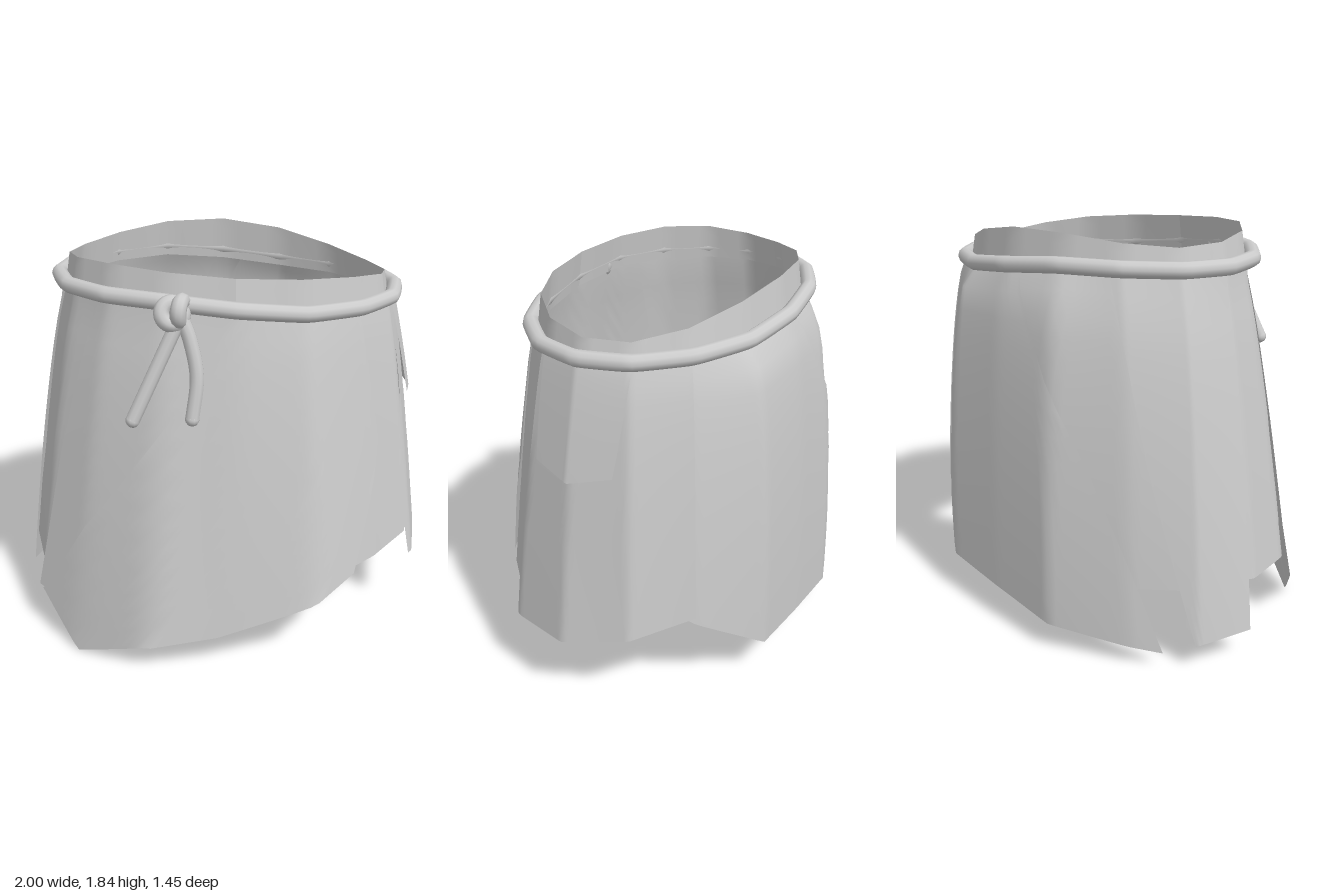
import * as THREE from 'three';

const clothMat = new THREE.MeshStandardMaterial({ color: 0xcccccc, side: THREE.DoubleSide });
const ropeMat = new THREE.MeshStandardMaterial({ color: 0xcccccc });
const { sin, cos, tanh, floor, max, pow, PI } = Math;
const mix = THREE.MathUtils.lerp;

// Rules by angle, from the front round by +x
const waist = (a) => new THREE.Vector2(.03 + .755 * sin(a), .54 * cos(a) - .015);
const hemline = (a) => new THREE.Vector2(.01 + .98 * sin(a), .71 * cos(a) * (1 + .08 * sin(4 * a) ** 2) - .01);
const ropeHeight = (a) => 1.67 - .038 * tanh(3 * sin(a)) + .015 * cos(a) ** 2;
const rimHeight = (a) => 1.788 - .05 * sin(a) + .035 * cos(2 * a) - .018 * cos(3 * a);

// Straight facets between 16 stations u
const angle = (u) => u * PI / 8;
const facet = (rule, u) => rule(angle(floor(u))).lerp(rule(angle(floor(u) + 1)), u - floor(u));
const facetY = (rule, u) => mix(rule(angle(floor(u))), rule(angle(floor(u) + 1)), u - floor(u));

// Lookup in evenly spaced values
function sample(values, t) {
  const k = t * (values.length - 1), i = Math.min(floor(k), values.length - 2);
  return mix(values[i], values[i + 1], k - i);
}

// Point on the skirt: station u, height y, pushed outwards by off
function skirtPoint(u, y, off) {
  const hem = facet(hemline, u);
  const s = max(0, (1.65 - y) / 1.3);
  const back = max(0, -hem.y / .72);
  const t = pow(s, mix(.8, .38, back)) - back * .15 * s * s;
  const p = facet(waist, u).lerp(hem, t);
  const n = new THREE.Vector2(p.x, p.y * 1.8).normalize();
  p.addScaledVector(n, off);
  return new THREE.Vector3(p.x, y, p.y);
}

// Smooth sheet from a rule point(w, v), w sideways and v downwards
function sheet(name, cols, rows, point) {
  const pos = [], index = [];
  for (let j = 0; j <= rows; j++)
    for (let i = 0; i <= cols; i++) pos.push(...point(i / cols, j / rows).toArray());
  for (let j = 0; j < rows; j++)
    for (let i = 0; i < cols; i++) {
      const a = j * (cols + 1) + i, c = a + cols + 1;
      index.push(a, c, a + 1, a + 1, c, c + 1);
    }
  const g = new THREE.BufferGeometry();
  g.setAttribute('position', new THREE.Float32BufferAttribute(pos, 3));
  g.setIndex(index);
  g.computeVertexNormals();
  const mesh = new THREE.Mesh(g, clothMat);
  mesh.name = name;
  return mesh;
}

// Cloth panel: stations of the side edges going down, heights of the hem going across
function panel(name, off, left, right, hem) {
  return sheet(name, 40, 14, (w, v) => {
    const u = mix(sample(left, v), sample(right, v), w);
    const y = mix(facetY(ropeHeight, u), sample(hem, w), v);
    return skirtPoint(u, y, off * (.3 + .7 * v));
  });
}

function rope(name, points, radius, closed, tension, segments) {
  const curve = new THREE.CatmullRomCurve3(points, closed, 'catmullrom', tension);
  const mesh = new THREE.Mesh(new THREE.TubeGeometry(curve, segments, radius, 10, closed), ropeMat);
  mesh.name = name;
  return mesh;
}

// Hanging tail with a round tip, bowing sideways on its way down
function ropeTail(name, endX, bow) {
  const points = [0, .25, .6, 1].map((t) =>
    new THREE.Vector3(mix(-.2, endX, t) + bow * sin(t * PI), mix(1.67, 1.24, t), mix(.56, .635, t)));
  const tail = rope(name, points, .031, false, .5, 24);
  const tip = new THREE.Mesh(new THREE.SphereGeometry(.031, 10, 8), ropeMat);
  tip.name = 'tailTip';
  tip.position.copy(points[points.length - 1]);
  tail.add(tip);
  return tail;
}

function knotRing(name, radius, x, y, rotX, rotY) {
  const ring = new THREE.Mesh(new THREE.TorusGeometry(radius, .034, 10, 24), ropeMat);
  ring.name = name;
  ring.position.set(x, y, .56);
  ring.rotation.set(rotX, rotY, 0);
  return ring;
}

export function createModel() {
  const model = new THREE.Group();
  model.name = 'wrapSkirt';

  // Overlapping cloth panels
  model.add(
    panel('frontPanel', .022, [.2, -1.35, -2.85], [2, 2.2, 1.6], [.22, 0, .14, .19, .3, .42]),
    panel('frontRightPanel', .008, [-2.3, -2.75, -3], [.8, -.8, -2.3], [.22, .2]),
    panel('frontLeftPanel', 0, [1.3, 1.2], [3.4, 2.9], [.42, .45, .47]),
    panel('leftSidePanel', .014, [3, 3, 2.75, 2.9], [6, 6], [.35, .36, .42, .48]),
    panel('backPanel', .008, [5.6, 5.85], [8.2, 9.5, 10.5], [.48, .21, .17, .12, .07]),
    panel('rightSidePanel', .018, [9.8, 10.3, 10.95], [12, 11.8], [.12, .14]),
    panel('rightUnderPanel', -.012, [7.6, 8.6, 9.8], [14.6, 13.6], [.36, .36, .32]),
    panel('hipFlap', .035, [3.1, 3.3], [5.05, 4.75], [1.16, 1.12, 1.17]),
  );

  // Waistband rising above the rope
  model.add(sheet('waistband', 64, 4, (w, v) => {
    const u = w * 16;
    const y = mix(facetY(rimHeight, u), facetY(ropeHeight, u) - .05, v);
    return skirtPoint(u, 1.65, mix(-.025, 0, v)).setY(y);
  }));

  // Rope belt
  const loop = Array.from({ length: 16 }, (_, u) => skirtPoint(u, 1.65, .025).setY(ropeHeight(angle(u))));
  model.add(rope('ropeBelt', loop, .036, true, .15, 128));

  // Knot with two hanging tails
  const knot = new THREE.Group();
  knot.name = 'knot';
  knot.add(
    knotRing('knotLoop', .045, -.235, 1.68, -.4, .2),
    knotRing('knotWrap', .042, -.2, 1.69, .3, 1.3),
    ropeTail('rightTail', -.41, 0),
    ropeTail('leftTail', -.16, .04),
  );
  model.add(knot);
  return model;
}
